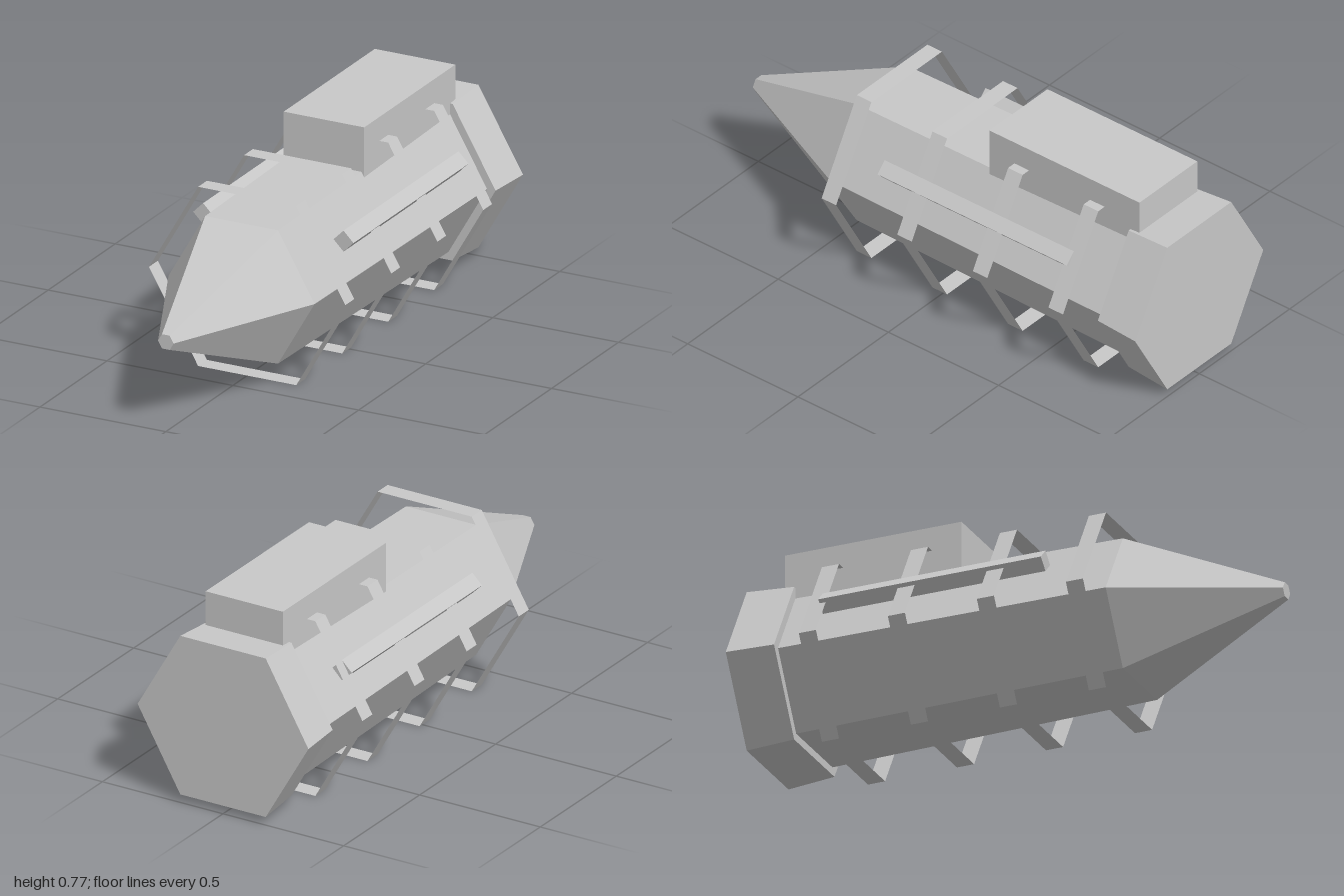
import * as THREE from 'three';

const AXIS_Y = 0.34;

export function createModel() {
  const group = new THREE.Group();
  const hull = new THREE.MeshStandardMaterial({ color: 0xc8c8c8, flatShading: true, side: THREE.DoubleSide });
  hull.name = 'hull grey';

  const add = (name, geometry, x, y, z) => {
    const mesh = new THREE.Mesh(geometry, hull);
    mesh.name = name;
    mesh.position.set(x, y, z);
    group.add(mesh);
    return mesh;
  };

  // Six-sided section along z, with corners on the left and right
  const hexSection = (name, rFront, rBack, zFront, zBack, open = false) => {
    const geometry = new THREE.CylinderGeometry(rFront, rBack, zFront - zBack, 6, 1, open, Math.PI / 6);
    geometry.rotateX(Math.PI / 2);
    return add(name, geometry, 0, AXIS_Y, (zFront + zBack) / 2);
  };

  // Nose, body and flared tail
  hexSection('nose', 0.031, 0.29, 1, 0.435);
  hexSection('body', 0.29, 0.307, 0.435, -0.82);
  hexSection('tail', 0.341, 0.354, -0.82, -1);

  // Thin open bands standing clear of the body
  for (let i = 0; i < 4; i++) {
    const z = 0.36 - i * 0.343;
    hexSection('ring' + (i + 1), 0.39, 0.39, z + 0.033, z - 0.033, true);
  }

  // Raised housing on top
  add('topHousing', new THREE.BoxGeometry(0.32, 0.19, 0.68), 0, 0.673, -0.52);

  // Square rails turned on edge, one each side
  for (const side of [1, -1]) {
    const rail = add(side > 0 ? 'leftRail' : 'rightRail',
      new THREE.BoxGeometry(0.056, 0.056, 0.858), side * 0.279, 0.493, -0.231);
    rail.rotation.z = side * Math.PI / 4;
  }

  return group;
}
